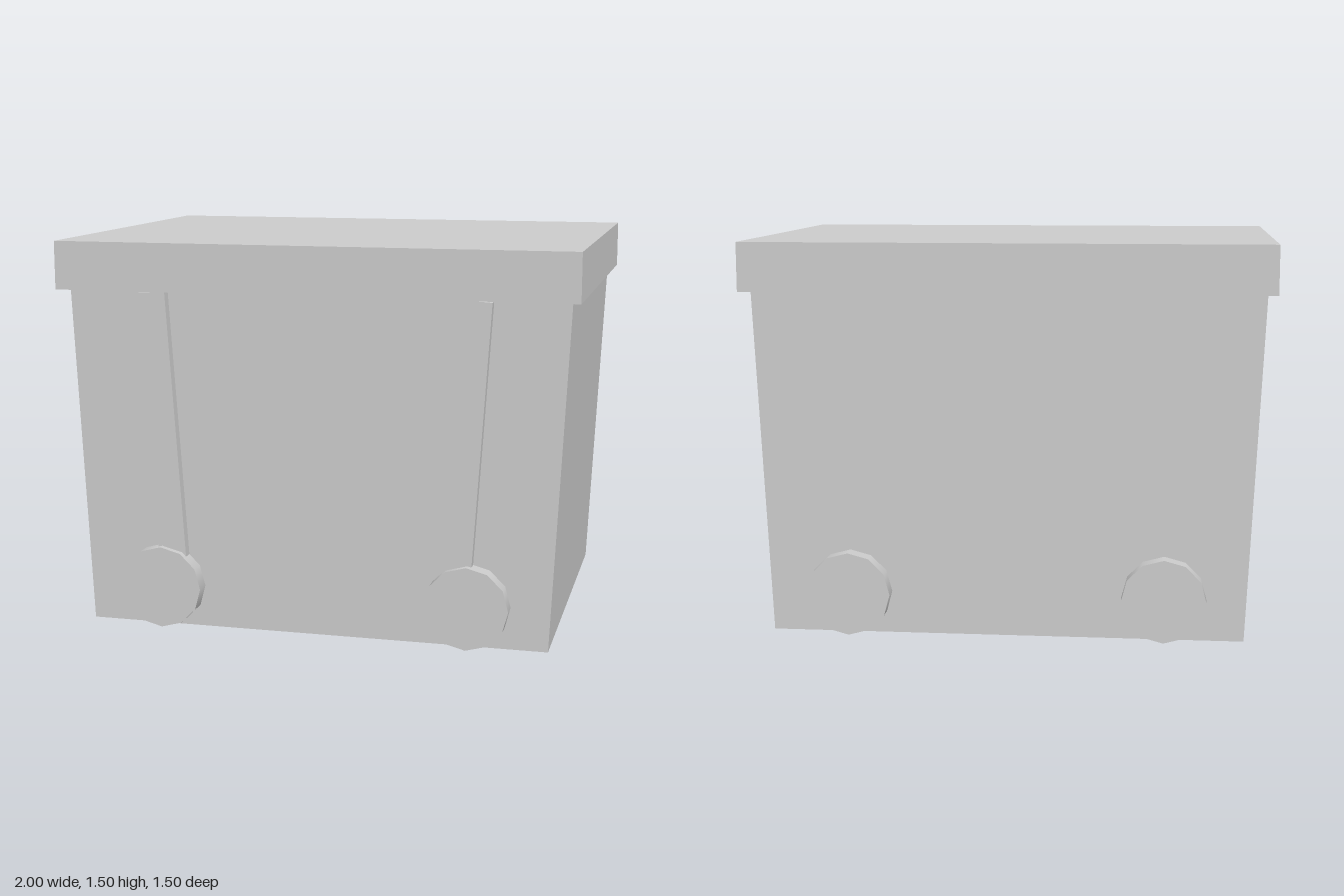
import * as THREE from 'three';

export function createModel() {
  const group = new THREE.Group();
  const material = new THREE.MeshStandardMaterial({ color: 0xcccccc });

  function add(name, geometry, x = 0, y = 0, z = 0) {
    const mesh = new THREE.Mesh(geometry, material);
    mesh.name = name;
    mesh.position.set(x, y, z);
    group.add(mesh);
    return mesh;
  }

  // Front or back face outline, extruded along z
  function slab(points, z0, z1) {
    const shape = new THREE.Shape(points.map(([x, y]) => new THREE.Vector2(x, y)));
    return new THREE.ExtrudeGeometry(shape, { depth: z1 - z0, bevelEnabled: false }).translate(0, 0, z0);
  }

  // Tapered body, wider at the top
  add('body', slab([[-0.903, 0], [0.903, 0], [0.965, 1.315], [-0.965, 1.315]], -0.687, 0.687));

  // Overhanging lid
  add('lid', new THREE.BoxGeometry(2, 0.185, 1.5), 0, 1.4075, 0);

  for (const side of [-1, 1]) {
    const label = side > 0 ? 'left' : 'right';

    // Leaning strap on the front, tucked behind the front disc
    const strap = [[0.498, 0.2], [0.608, 0.193], [0.68, 1.308], [0.57, 1.315]];
    const outline = strap.map(([x, y]) => [side * x, y]);
    if (side < 0) outline.reverse();
    add(label + 'Strap', slab(outline, 0.68, 0.725));

    // Twelve-sided discs low on the front and back
    for (const end of [-1, 1]) {
      const disc = new THREE.CylinderGeometry(0.16, 0.16, 0.07, 12).rotateX(Math.PI / 2);
      add(label + (end > 0 ? 'FrontWheel' : 'BackWheel'), disc, side * 0.6, 0.163, end * 0.715);
    }
  }

  return group;
}
